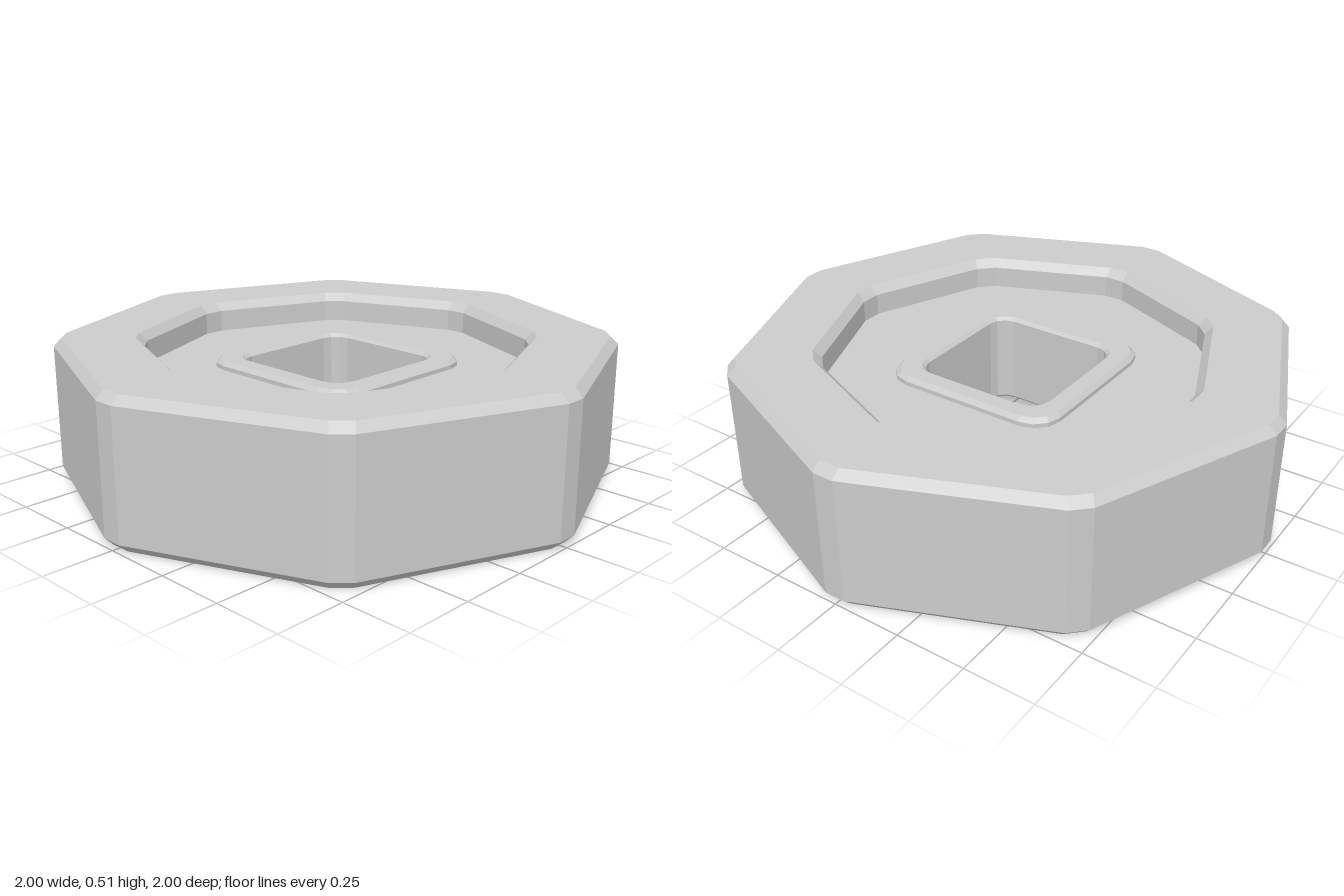
import * as THREE from 'three';

const H = 0.51;      // total thickness
const FLOOR = 0.40;  // height of the recessed face
const COLLAR = 0.43; // height of the raised collar

// Repeat one quadrant of (x, z) points around the axis
function fourfold(quadrant) {
  const ring = [];
  for (let q = 0; q < 4; q++) {
    for (const [x, z] of quadrant) ring.push([[x, z], [z, -x], [-x, -z], [-z, x]][q]);
  }
  return ring;
}

// Octagon with points on the axes and narrow cut corners
function octagon(r, cut = 0.038) {
  const a = (r - cut) * Math.SQRT1_2, b = (r + cut) * Math.SQRT1_2;
  return fourfold([[cut, r], [a, b], [b, a], [r, cut]]);
}

// Square of half-width h with three-facet rounded corners
function roundedSquare(h, radius) {
  return fourfold([0, 1, 2, 3].map((i) => {
    const t = i * Math.PI / 6;
    return [h - radius + radius * Math.sin(t), h - radius + radius * Math.cos(t)];
  }));
}

// Skin a series of [outline, height] sections, ordered up the outside and inward
function loft(name, sections) {
  const pos = [];
  for (let j = 0; j < sections.length - 1; j++) {
    const [lo, y0] = sections[j], [hi, y1] = sections[j + 1];
    for (let i = 0; i < lo.length; i++) {
      const k = (i + 1) % lo.length;
      const a = [lo[i][0], y0, lo[i][1]], b = [lo[k][0], y0, lo[k][1]];
      const c = [hi[k][0], y1, hi[k][1]], d = [hi[i][0], y1, hi[i][1]];
      pos.push(...a, ...b, ...c, ...a, ...c, ...d);
    }
  }
  const geo = new THREE.BufferGeometry();
  geo.setAttribute('position', new THREE.Float32BufferAttribute(pos, 3));
  geo.computeVertexNormals();
  const mesh = new THREE.Mesh(geo, new THREE.MeshStandardMaterial({ color: 0xcccccc, flatShading: true }));
  mesh.name = name;
  return mesh;
}

// Mirror the upper half of a profile to the underside
const mirrored = (top) => [...top.map(([o, y]) => [o, H - y]).reverse(), ...top];

export function createModel() {
  const group = new THREE.Group();
  group.name = 'octagonalNut';

  // Outer wall, bevelled edges and the step into each recess
  group.add(loft('rim', mirrored([
    [octagon(1), H - 0.03],
    [octagon(0.97), H],
    [octagon(0.71), H],
    [octagon(0.68), H - 0.03],
    [octagon(0.68), FLOOR],
  ])));
  // The mirrored profile starts inside the lower recess and ends inside the upper one

  // Recessed faces
  const edge = octagon(0.68), base = roundedSquare(0.335, 0.1);
  group.add(loft('upperRecessFace', [[edge, FLOOR], [base, FLOOR]]));
  group.add(loft('lowerRecessFace', [[base, H - FLOOR], [edge, H - FLOOR]]));

  // Raised square collars
  const collar = [
    [base, FLOOR],
    [base, COLLAR - 0.015],
    [roundedSquare(0.32, 0.09), COLLAR],
    [roundedSquare(0.262, 0.075), COLLAR],
    [roundedSquare(0.25, 0.065), COLLAR - 0.012],
  ];
  group.add(loft('upperCollar', collar));
  group.add(loft('lowerCollar', collar.map(([o, y]) => [o, H - y]).reverse()));

  // Square hole through the middle
  const bore = roundedSquare(0.25, 0.065);
  group.add(loft('bore', [[bore, COLLAR - 0.012], [bore, H - COLLAR + 0.012]]));

  return group;
}
